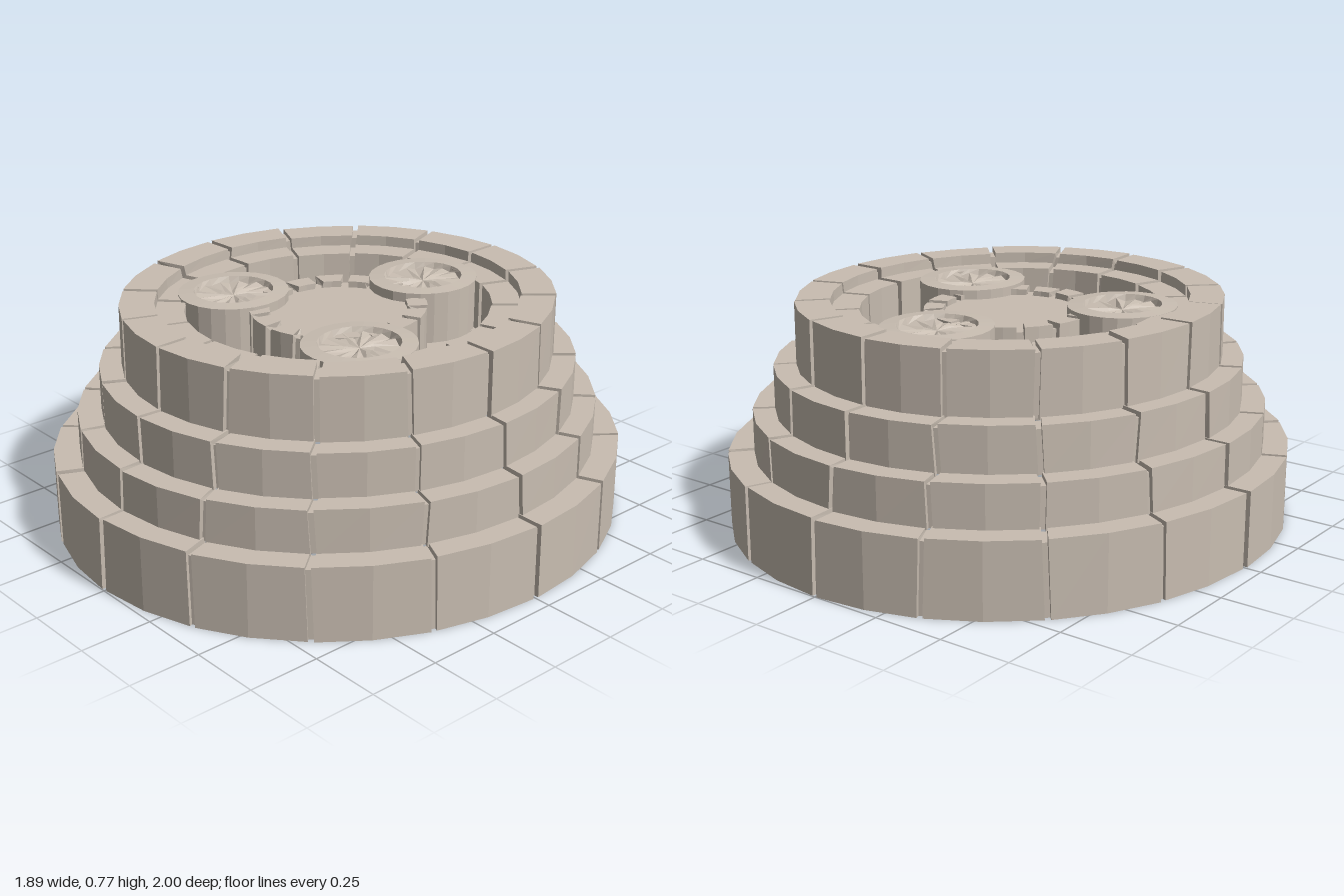
import * as THREE from 'three';

const STONES = 16;
const OVAL = 0.945; // the plan is slightly narrower across x

// small seeded generator for the uneven stonework, -1..1
let seed = 7;
const jitter = () => {
  seed = (seed * 16807) % 2147483647;
  return (seed / 2147483647) * 2 - 1;
};

// Faceted surface from columns of [x, y, z] points, ordered counter-clockwise from above
function skin(columns) {
  const pos = [];
  columns.forEach((a, i) => {
    const b = columns[(i + 1) % columns.length];
    for (let j = 0; j < a.length - 1; j++) {
      pos.push(...a[j], ...b[j], ...b[j + 1], ...a[j], ...b[j + 1], ...a[j + 1]);
    }
  });
  const geo = new THREE.BufferGeometry();
  geo.setAttribute('position', new THREE.Float32BufferAttribute(pos, 3));
  geo.computeVertexNormals();
  return geo;
}

// Averaged outward normals of an [r, y] profile, used to sink the joints
function profileNormals(profile) {
  return profile.map((p, i) => {
    const n = [0, 0];
    for (const [a, b] of [[profile[i - 1], p], [p, profile[i + 1]]]) {
      if (!a || !b) continue;
      const dr = b[0] - a[0], dy = b[1] - a[1], l = Math.hypot(dr, dy);
      n[0] += dy / l;
      n[1] -= dr / l;
    }
    return n;
  });
}

// Ring of wedge stones with narrow recessed joints, swept from an [r, y] profile
function stoneRing(profile, depth = 0.016, half = 0.01) {
  const normals = profileNormals(profile);
  const step = (Math.PI * 2) / STONES;
  const stones = Array.from({ length: STONES }, () => [jitter() * 0.003, jitter() * 0.003]);
  const skews = Array.from({ length: STONES }, () => jitter() * 0.006);
  const column = (angle, side, sink, [dr, dy], skew) => profile.map(([r, y], j) => {
    const a = angle + (side * half + skew * (j % 2 ? 1 : -1)) / r;
    const rr = r + dr - normals[j][0] * sink;
    const yy = y === 0 ? 0 : y + dy - normals[j][1] * sink;
    return [Math.sin(a) * rr * OVAL, yy, Math.cos(a) * rr];
  });
  const columns = [];
  for (let s = 0; s < STONES; s++) {
    const a = s * step, prev = stones[(s + STONES - 1) % STONES], k = skews[s];
    columns.push(
      column(a, -1, 0, prev, k),
      column(a, -1, depth, [0, 0], k),
      column(a, 1, depth, [0, 0], k),
      column(a, 1, 0, stones[s], k),
      column(a + step / 2, 0, 0, stones[s], 0),
    );
  }
  return skin(columns);
}

// Round pillar with a raised rim and a shallow, rippled dish
function pillarGeometry() {
  const sides = 24;
  const columns = [];
  for (let i = 0; i < sides; i++) {
    const a = (i / sides) * Math.PI * 2;
    const ripple = (i % 2 ? 0.006 : -0.004) + jitter() * 0.003;
    const profile = [[0.195, 0.555], [0.195, 0.738], [0.14, 0.742], [0.132, 0.722 + ripple], [0.05, 0.72 + ripple], [0.001, 0.72]];
    columns.push(profile.map(([r, y]) => [Math.sin(a) * r * OVAL, y, Math.cos(a) * r]));
  }
  return skin(columns);
}

export function createModel() {
  const group = new THREE.Group();
  const stone = new THREE.MeshStandardMaterial({ color: 0xc8bdb1, side: THREE.DoubleSide, flatShading: true });
  stone.name = 'paleStone';
  const add = (name, geo) => {
    const mesh = new THREE.Mesh(geo, stone);
    mesh.name = name;
    group.add(mesh);
    return mesh;
  };

  // stepped outer tiers, each a riser and its tread
  add('bottomTier', stoneRing([[0.998, 0], [0.998, 0.258], [0.89, 0.258]]));
  add('secondTier', stoneRing([[0.91, 0.25], [0.91, 0.404], [0.81, 0.404]]));
  add('thirdTier', stoneRing([[0.83, 0.395], [0.83, 0.557], [0.73, 0.557]]));

  // top tier: rim, lower inner ledge and the wall down into the basin
  add('topTier', stoneRing([[0.75, 0.55], [0.75, 0.772], [0.63, 0.772], [0.63, 0.735], [0.53, 0.735], [0.53, 0.555]]));

  // sunken paving around the hub
  add('basinFloor', stoneRing([[0.55, 0.56], [0.3, 0.56]]));

  // central hub with its kerb and flat top
  add('hubKerb', stoneRing([[0.31, 0.555], [0.31, 0.725], [0.24, 0.725], [0.24, 0.69]], 0.02, 0.014));
  const hubTop = add('hubTop', new THREE.CircleGeometry(0.26, 32));
  hubTop.rotation.x = -Math.PI / 2;
  hubTop.scale.x = OVAL;
  hubTop.position.y = 0.705;

  // three dished pillars standing evenly around the hub
  for (let i = 0; i < 3; i++) {
    const a = Math.PI + (i * Math.PI * 2) / 3;
    const pillar = add('dishedPillar' + (i + 1), pillarGeometry());
    pillar.position.set(Math.sin(a) * 0.395 * OVAL, 0, Math.cos(a) * 0.395);
  }
  return group;
}
